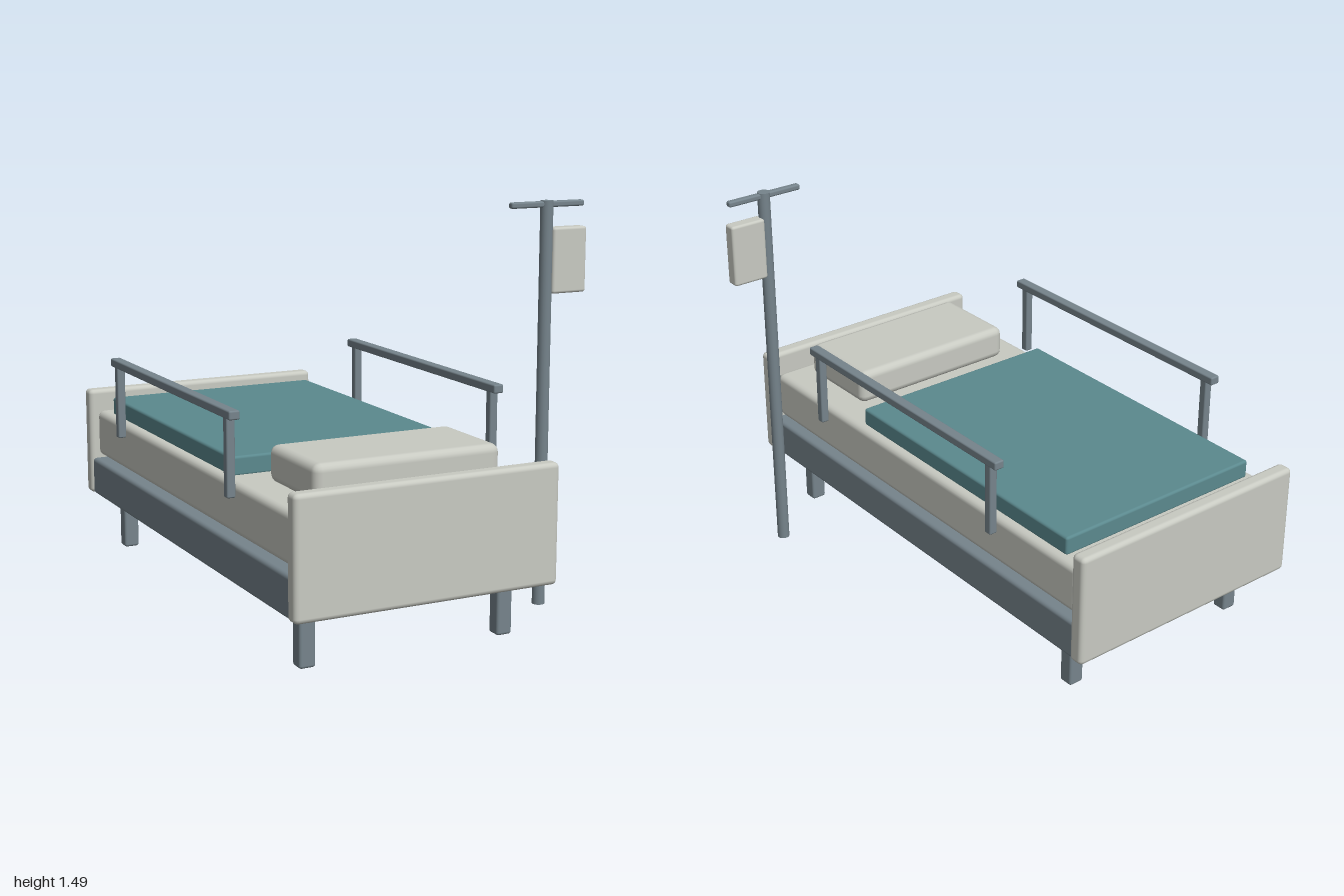
import * as THREE from 'three';
import { RoundedBoxGeometry } from 'three/addons/geometries/RoundedBoxGeometry.js';

export function createModel() {
  const model = new THREE.Group();
  model.name = 'hospitalBed';

  const material = (name, color) => {
    const m = new THREE.MeshStandardMaterial({ color });
    m.name = name;
    return m;
  };
  const linen = material('offWhite', 0xc8cac2);
  const teal = material('tealBlanket', 0x5b898e);
  const metal = material('slateMetal', 0x76848c);

  // Rounded block given by its extents on each axis
  function block(parent, name, mat, [x0, x1], [y0, y1], [z0, z1], r) {
    const mesh = new THREE.Mesh(new RoundedBoxGeometry(x1 - x0, y1 - y0, z1 - z0, 2, r), mat);
    mesh.position.set((x0 + x1) / 2, (y0 + y1) / 2, (z0 + z1) / 2);
    mesh.name = name;
    parent.add(mesh);
    return mesh;
  }

  // Bed, built around its own centre line
  const bed = new THREE.Group();
  bed.name = 'bed';
  bed.position.x = -0.15;
  model.add(bed);

  block(bed, 'frame', metal, [-0.49, 0.49], [0.205, 0.355], [-0.95, 0.95], 0.015);
  block(bed, 'mattress', linen, [-0.47, 0.47], [0.37, 0.555], [-0.935, 0.935], 0.025);
  block(bed, 'blanket', teal, [-0.435, 0.435], [0.55, 0.622], [-0.84, 0.36], 0.01);
  block(bed, 'pillow', linen, [-0.355, 0.355], [0.555, 0.688], [0.49, 0.852], 0.03);
  block(bed, 'headboard', linen, [-0.5, 0.5], [0.207, 0.638], [0.938, 1], 0.018);
  block(bed, 'footboard', linen, [-0.5, 0.5], [0.207, 0.638], [-1, -0.938], 0.018);

  // Legs and side rails, mirrored left to right
  for (const side of [-1, 1]) {
    for (const end of [-1, 1]) {
      const x = side * 0.382, z = end * 0.823;
      block(bed, 'leg', metal, [x - 0.03, x + 0.03], [0, 0.22], [z - 0.029, z + 0.029], 0.01);
    }
    const rail = new THREE.Group();
    rail.name = side > 0 ? 'leftRail' : 'rightRail';
    rail.position.x = side * 0.516;
    bed.add(rail);
    block(rail, 'railBar', metal, [-0.02, 0.02], [0.8, 0.832], [-0.575, 0.575], 0.006);
    for (const z of [-0.527, 0.527])
      block(rail, 'railPost', metal, [-0.016, 0.016], [0.525, 0.81], [z - 0.016, z + 0.016], 0.006);
  }

  // Drip stand beside the head end
  const stand = new THREE.Group();
  stand.name = 'dripStand';
  stand.position.set(0.521, 0, 0.622);
  model.add(stand);

  const pole = new THREE.Mesh(new THREE.CylinderGeometry(0.0235, 0.0235, 1.478, 16), metal);
  pole.name = 'pole';
  pole.position.y = 0.749;
  stand.add(pole);

  block(stand, 'crossbar', metal, [-0.152, 0.152], [1.464, 1.486], [-0.0125, 0.0125], 0.007);
  block(stand, 'dripBag', linen, [0.015, 0.156], [1.157, 1.393], [-0.026, 0.026], 0.01);

  return model;
}
